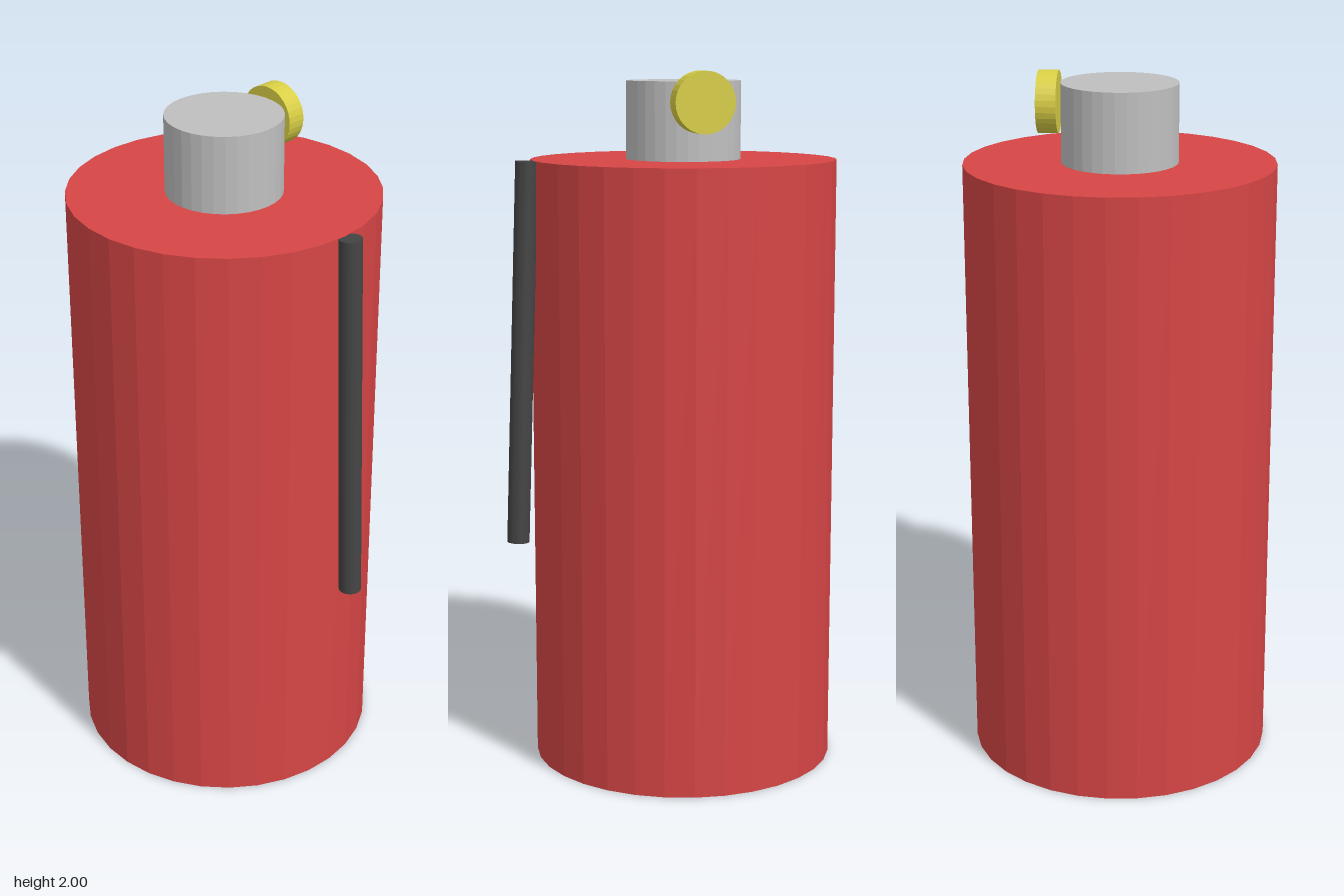
import * as THREE from 'three';

const colour = (name, hex) => {
  const m = new THREE.MeshStandardMaterial({ color: hex, flatShading: true });
  m.name = name;
  return m;
};

export function createModel() {
  const red = colour('red paint', 0xd64545);
  const grey = colour('grey metal', 0xbfbfbf);
  const yellow = colour('yellow dial', 0xd8ce45);
  const black = colour('black rubber', 0x444444);

  const group = new THREE.Group();
  group.name = 'fireExtinguisher';
  const axisZ = -0.045; // centre line of the tank

  const addCylinder = (name, material, radius, length, x, y, z, sides = 32) => {
    const mesh = new THREE.Mesh(new THREE.CylinderGeometry(radius, radius, length, sides), material);
    mesh.name = name;
    mesh.position.set(x, y, z);
    group.add(mesh);
    return mesh;
  };

  // Tank and valve neck
  addCylinder('tank', red, 0.435, 1.75, 0, 0.875, axisZ);
  addCylinder('neck', grey, 0.163, 0.22, 0, 1.86, axisZ);

  // Pressure gauge facing sideways
  addCylinder('gauge', yellow, 0.086, 0.056, 0.196, 1.914, axisZ).rotation.z = -Math.PI / 2;

  // Hose leaning slightly out from the front of the tank
  const top = new THREE.Vector3(0, 1.75, 0.409);
  const bottom = new THREE.Vector3(0, 0.661, 0.448);
  const hose = addCylinder('hose', black, 0.032, top.distanceTo(bottom), 0, 0, 0);
  hose.position.lerpVectors(bottom, top, 0.5);
  hose.quaternion.setFromUnitVectors(new THREE.Vector3(0, 1, 0), top.clone().sub(bottom).normalize());

  return group;
}
